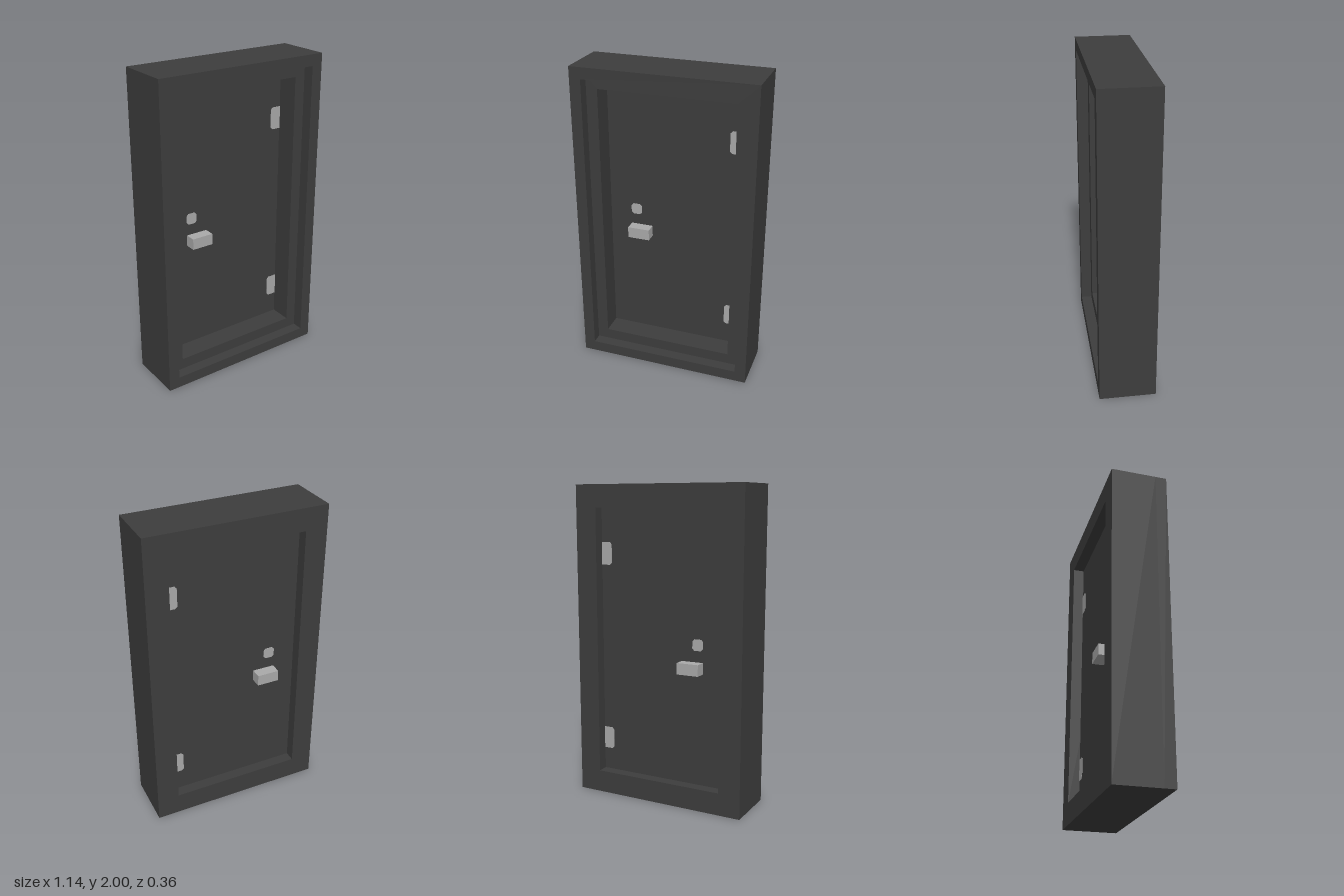
import * as THREE from 'three';

const U = 1 / 14; // building unit: 16 wide, 28 tall, 5 deep

const rect = (C, x0, y0, x1, y1) => {
  const s = new C();
  s.moveTo(x0 * U, y0 * U);
  s.lineTo(x1 * U, y0 * U);
  s.lineTo(x1 * U, y1 * U);
  s.lineTo(x0 * U, y1 * U);
  s.closePath();
  return s;
};

// Rectangle with clipped corners on the left and, optionally, the right
function clippedPlate(x0, y0, x1, y1, clipRight) {
  const c = 0.19, r = clipRight ? c : 0;
  const pts = [[x0 + c, y0], [x1 - r, y0]];
  if (r) pts.push([x1, y0 + r], [x1, y1 - r]);
  pts.push([x1 - r, y1], [x0 + c, y1], [x0, y1 - c], [x0, y0 + c]);
  return new THREE.Shape(pts.map(([x, y]) => new THREE.Vector2(x * U, y * U)));
}

export function createModel() {
  const group = new THREE.Group();
  group.name = 'framedDoor';

  const darkSteel = new THREE.MeshStandardMaterial({ color: 0x3d3d3d });
  darkSteel.name = 'darkSteel';
  const lightMetal = new THREE.MeshStandardMaterial({ color: 0xa9a9a9 });
  lightMetal.name = 'lightMetal';

  const add = (name, geometry, material, x = 0, y = 0, z = 0) => {
    const mesh = new THREE.Mesh(geometry, material);
    mesh.name = name;
    mesh.position.set(x, y, z);
    group.add(mesh);
  };

  // Frame layer: full outline with a doorway inset by a margin
  const frameLayer = (name, margin, z0, z1) => {
    const shape = rect(THREE.Shape, -8, 0, 8, 28);
    shape.holes.push(rect(THREE.Path, -8 + margin, margin, 8 - margin, 28 - margin));
    const geo = new THREE.ExtrudeGeometry(shape, { depth: (z1 - z0) * U, bevelEnabled: false });
    add(name, geo, darkSteel, 0, 0, z0 * U);
  };
  frameLayer('innerFrame', 2, -2.5, 1.5);
  frameLayer('outerFrameLip', 1, 1.5, 2.5);

  // Door leaf set back in the frame
  add('doorLeaf', new THREE.BoxGeometry(12 * U, 24 * U, U), darkSteel, 0, 14 * U, -U);

  // Fittings on both faces of the leaf
  const t = 0.003;
  for (const [side, dir] of [['front', 1], ['back', -1]]) {
    const face = -U + dir * U / 2;
    const plate = (name, shape) => add(
      side + name,
      new THREE.ExtrudeGeometry(shape, { depth: t, bevelEnabled: false }),
      lightMetal, 0, 0, dir > 0 ? face : face - t
    );
    plate('UpperHinge', clippedPlate(5, 21, 6, 23, false));
    plate('LowerHinge', clippedPlate(5, 4, 6, 6, false));
    plate('Lock', clippedPlate(-4, 14, -3, 15, true));
    add(side + 'Handle', new THREE.BoxGeometry(2 * U, U, U), lightMetal, -3 * U, 12.5 * U, face + dir * U / 2);
  }

  return group;
}
